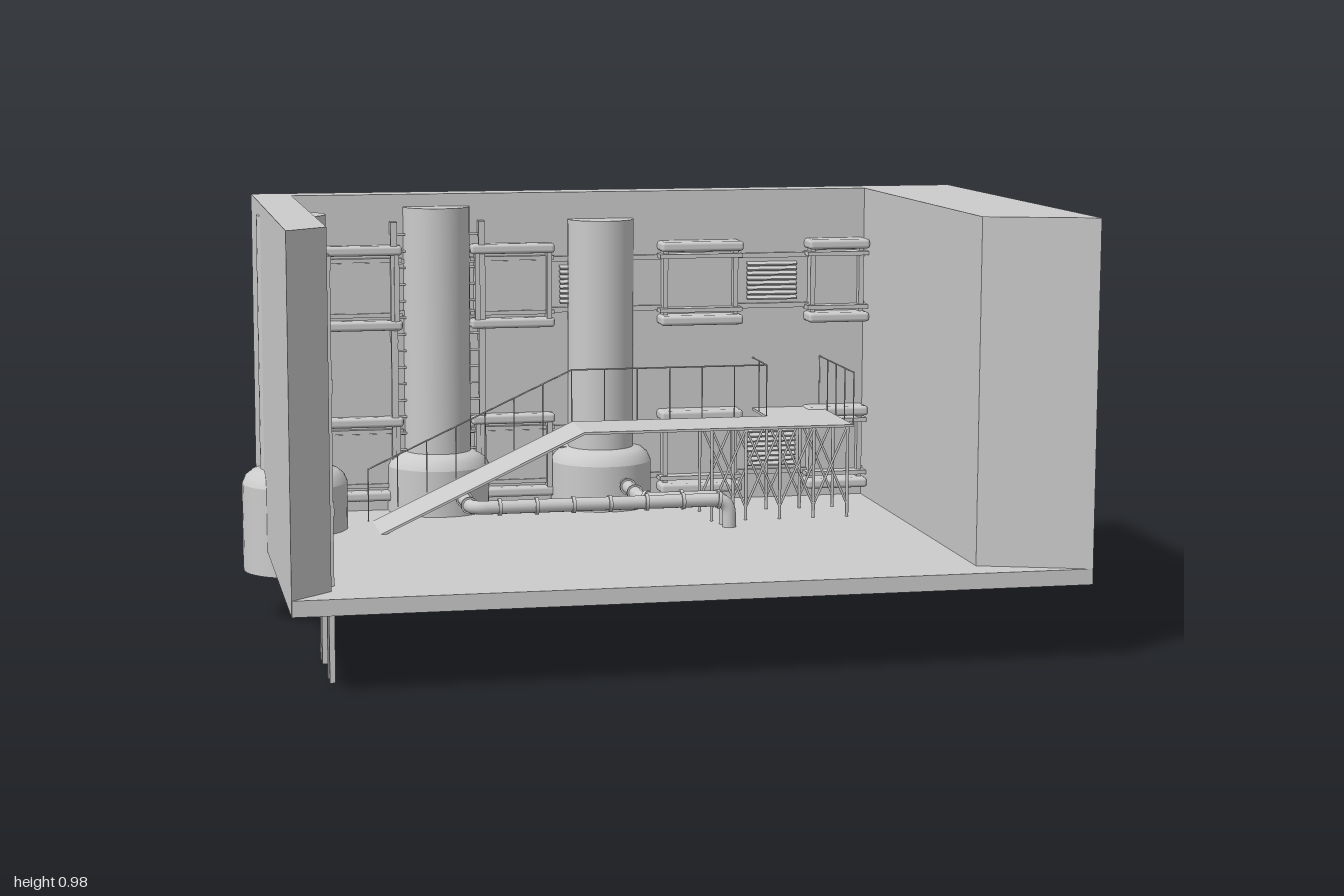
import * as THREE from 'three';
import { RoundedBoxGeometry } from 'three/addons/geometries/RoundedBoxGeometry.js';

const mat = new THREE.MeshStandardMaterial({ color: 0xcccccc });
const thin = new THREE.MeshStandardMaterial({ color: 0xcccccc, side: THREE.DoubleSide });
const V = (x, y, z) => new THREE.Vector3(x, y, z);

function add(parent, name, geometry, material = mat) {
  const m = new THREE.Mesh(geometry, material);
  m.name = name;
  parent.add(m);
  return m;
}

function group(parent, name) {
  const g = new THREE.Group();
  g.name = name;
  parent.add(g);
  return g;
}

// Box given by its limits on each axis
function box(parent, name, x0, x1, y0, y1, z0, z1, radius = 0) {
  const s = [x1 - x0, y1 - y0, z1 - z0];
  const geo = radius ? new RoundedBoxGeometry(...s, 2, radius) : new THREE.BoxGeometry(...s);
  const m = add(parent, name, geo);
  m.position.set((x0 + x1) / 2, (y0 + y1) / 2, (z0 + z1) / 2);
  return m;
}

// Straight round bar between two points
function bar(parent, name, a, b, r = 0.002, sides = 6) {
  const m = add(parent, name, new THREE.CylinderGeometry(r, r, a.distanceTo(b), sides));
  m.position.copy(a).lerp(b, 0.5);
  m.quaternion.setFromUnitVectors(V(0, 1, 0), b.clone().sub(a).normalize());
  return m;
}

// Room: three walls with bevelled inner ends on a floor slab
function buildRoom(root) {
  const room = group(root, 'room');
  const plan = [[-0.85, 1], [-0.85, -0.07], [0.89, -0.07], [0.89, 1], [0.65, 0.92], [0.65, 0.01], [-0.76, 0.01], [-0.76, 0.92]];
  const shape = new THREE.Shape(plan.map(([x, z]) => new THREE.Vector2(x, -z)));
  const walls = new THREE.ExtrudeGeometry(shape, { depth: 0.8, bevelEnabled: false });
  walls.rotateX(-Math.PI / 2).translate(0, 0.175, 0);
  add(room, 'walls', walls);
  box(room, 'floor', -0.849, 0.889, 0.175, 0.21, -0.069, 0.999);
}

// Tall column on a wide round base
function buildTank(root, x, z, top) {
  const profile = [[0, 0.115], [0.123, 0.115], [0.123, 0.115], [0.123, 0.32], [0.123, 0.32], [0.115, 0.338],
    [0.1, 0.35], [0.08, 0.355], [0.08, 0.355], [0.08, top], [0.08, top], [0, top]];
  const t = add(root, 'tank', new THREE.LatheGeometry(profile.map(p => new THREE.Vector2(...p)), 40));
  t.position.set(x, 0, z);
}

// Wall ladder, facing +z before turning
function buildLadder(root, x, z, turn) {
  const l = group(root, 'ladder');
  for (const s of [-1, 1]) {
    box(l, 'ladderRail', s * 0.02 - 0.008, s * 0.02 + 0.008, 0, 0.91, -0.006, 0.006);
    for (const y of [0.36, 0.62, 0.88]) box(l, 'ladderBracket', s * 0.02 - 0.008, s * 0.02 + 0.008, y, y + 0.03, -0.03, 0.008);
  }
  for (let y = 0.24; y < 0.9; y += 0.04) bar(l, 'rung', V(-0.02, y, 0), V(0.02, y, 0), 0.003);
  l.position.set(x, 0, z);
  l.rotation.y = turn;
}

// Bank of two bays on the rear wall: open-ended duct outside, framed panels inside
function buildBank(root, x0, y, back, inner) {
  const g = group(root, 'windowBank');
  const x1 = x0 + 0.742, lo = y - 0.07, hi = y + 0.07, t = 0.008;
  box(g, 'ductTop', x0, x1, hi - t, hi, back, -0.07);
  box(g, 'ductBottom', x0, x1, lo, lo + t, back, -0.07);
  box(g, 'ductBack', x0, x1, lo, hi, back, back + t);
  for (const s of [0.085, 0.455]) {
    const a = x0 + s, b = a + 0.205;
    box(g, 'bayTop', a, b, hi, y + 0.103, back - 0.022, -0.07);
    box(g, 'bayBottom', a, b, y - 0.103, lo, back - 0.022, -0.07);
    box(g, 'bayBack', a, b, lo, hi, back - 0.022, back);
    const e = Math.min(b, 0.65);
    for (const d of [-1, 1]) {
      const c = y + d * 0.09;
      box(g, 'frameRail', a, e, c - 0.012, c + 0.012, 0.005, inner, 0.008);
      box(g, 'frameLip', a, e, y + d * 0.066 - 0.005, y + d * 0.066 + 0.005, 0.005, inner - 0.015);
    }
    box(g, 'panel', a + 0.015, e - 0.01, y - 0.06, y + 0.06, 0.005, 0.022);
    for (const px of [a + 0.01, e - 0.02]) box(g, 'framePost', px, px + 0.012, y - 0.08, y + 0.08, 0.005, 0.04);
  }
  // Long rails and louvres between the bays
  const end = Math.min(x1, 0.65);
  for (const d of [-1, 1]) box(g, 'longRail', Math.max(x0, -0.76), end, y + d * 0.062 - 0.006, y + d * 0.062 + 0.006, 0.005, 0.02);
  for (const lx of [x0 + 0.31, x0 + 0.675]) {
    if (lx + 0.125 > 0.65) continue;
    for (let i = 0; i < 8; i++) {
      const slat = box(g, 'louvre', lx, lx + 0.125, y - 0.044 + i * 0.012, y - 0.04 + i * 0.012, 0.005, 0.024);
      slat.rotation.x = 0.4;
    }
  }
}

// Thin walkway plate from a centre-line path of x and y, spanning z0..z1
function plate(parent, name, path, z0, z1) {
  const t = 0.006;
  const pts = path.concat(path.slice().reverse().map(([x, y]) => [x, y - t]));
  const geo = new THREE.ExtrudeGeometry(new THREE.Shape(pts.map(p => new THREE.Vector2(...p))), { depth: z1 - z0, bevelEnabled: false });
  add(parent, name, geo.translate(0, 0, z0), thin);
}

// Handrail along points lying on the deck, with regular posts
function buildRail(parent, points, step) {
  const h = V(0, 0.125, 0);
  for (let i = 0; i + 1 < points.length; i++) {
    const [a, b] = [points[i], points[i + 1]];
    bar(parent, 'handrail', a.clone().add(h), b.clone().add(h));
    const n = Math.round(a.distanceTo(b) / step);
    for (let k = 0; k <= n; k++) {
      const p = a.clone().lerp(b, k / n);
      bar(parent, 'railPost', p, p.clone().add(h), 0.0015);
    }
  }
}

function buildWalkway(root) {
  const w = group(root, 'walkway');
  const y = 0.435;
  const ramp = [[-0.6, 0.205], [-0.11, y], [0.54, y]];
  plate(w, 'rearRamp', ramp, -1, -0.83);
  plate(w, 'innerRamp', ramp, 0.15, 0.32);
  plate(w, 'connectingDeck', [[0.37, y], [0.54, y]], -0.83, 0.15);
  buildRail(w, [V(0.54, y, -1), V(0.54, y, 0.32)], 0.078);
  buildRail(w, [V(0.37, y, -0.83), V(0.37, y, 0.15), V(-0.11, y, 0.15), V(-0.6, 0.21, 0.15)], 0.078);
  for (let z = -0.95; z < -0.1; z += 0.158) bar(w, 'railBracket', V(0.53, y - 0.005, z), V(0.565, y - 0.005, z), 0.003);

  // Legs in pairs with crossed braces
  const s = group(w, 'supports');
  const lo = 0.195, hi = y - 0.006;
  for (let i = 0; i < 13; i++) {
    const z = -0.96 + i * 0.067;
    for (const x of [0.385, 0.525]) bar(s, 'leg', V(x, lo, z), V(x, hi, z), 0.004);
    bar(s, 'brace', V(0.385, lo + 0.04, z), V(0.525, hi, z), 0.003);
    bar(s, 'brace', V(0.525, lo + 0.04, z), V(0.385, hi, z), 0.003);
  }
  for (const z of [0.17, 0.3]) {
    for (let i = 0; i < 5; i++) {
      const x = 0.2 + i * 0.083;
      bar(s, 'leg', V(x, 0.21, z), V(x, hi, z), 0.004);
      if (i === 4) continue;
      bar(s, 'brace', V(x, 0.24, z), V(x + 0.083, hi, z), 0.003);
      bar(s, 'brace', V(x + 0.083, 0.24, z), V(x, hi, z), 0.003);
    }
  }
}

// Pipe from a tank, along the floor and down into it, with flange rings
function buildPipe(root, x, z, endX, y) {
  const g = group(root, 'pipe');
  const corners = [V(x, y, 0.08), V(x, y, z), V(endX, y, z), V(endX, 0.2, z)];
  const path = new THREE.CurvePath();
  let from = corners[0];
  for (let i = 1; i < 3; i++) {
    const c = corners[i], r = 0.035;
    const a = c.clone().add(corners[i - 1].clone().sub(c).setLength(r));
    const b = c.clone().add(corners[i + 1].clone().sub(c).setLength(r));
    path.add(new THREE.LineCurve3(from, a));
    path.add(new THREE.QuadraticBezierCurve3(a, c, b));
    from = b;
  }
  path.add(new THREE.LineCurve3(from, corners[3]));
  add(g, 'pipeRun', new THREE.TubeGeometry(path, 90, 0.016, 14));
  const n = Math.round(path.getLength() / 0.085);
  for (let i = 1; i < n; i++) {
    const p = path.getPointAt(i / n), d = path.getTangentAt(i / n).setLength(0.004);
    bar(g, 'flange', p.clone().sub(d), p.clone().add(d), 0.02, 16);
  }
}

export function createModel() {
  const root = new THREE.Group();
  root.name = 'industrialRoom';
  buildRoom(root);

  buildTank(root, -0.777, 0.2, 0.945);
  buildTank(root, -0.415, 0.012, 0.945);
  buildTank(root, -0.015, 0.02, 0.91);

  for (const x of [-0.5, -0.328]) buildLadder(root, x, 0.03, 0);
  for (const z of [0.665, 0.84]) buildLadder(root, -0.763 + 0.008, z, Math.PI / 2);

  for (const y of [0.752, 0.338]) {
    buildBank(root, -0.79, y, -0.153, 0.04);
    buildBank(root, 0.042, y, -0.132, 0.07);
  }

  buildWalkway(root);
  buildPipe(root, -0.385, 0.375, 0.225, 0.275);
  buildPipe(root, 0.025, 0.338, 0.225, 0.275);
  return root;
}
